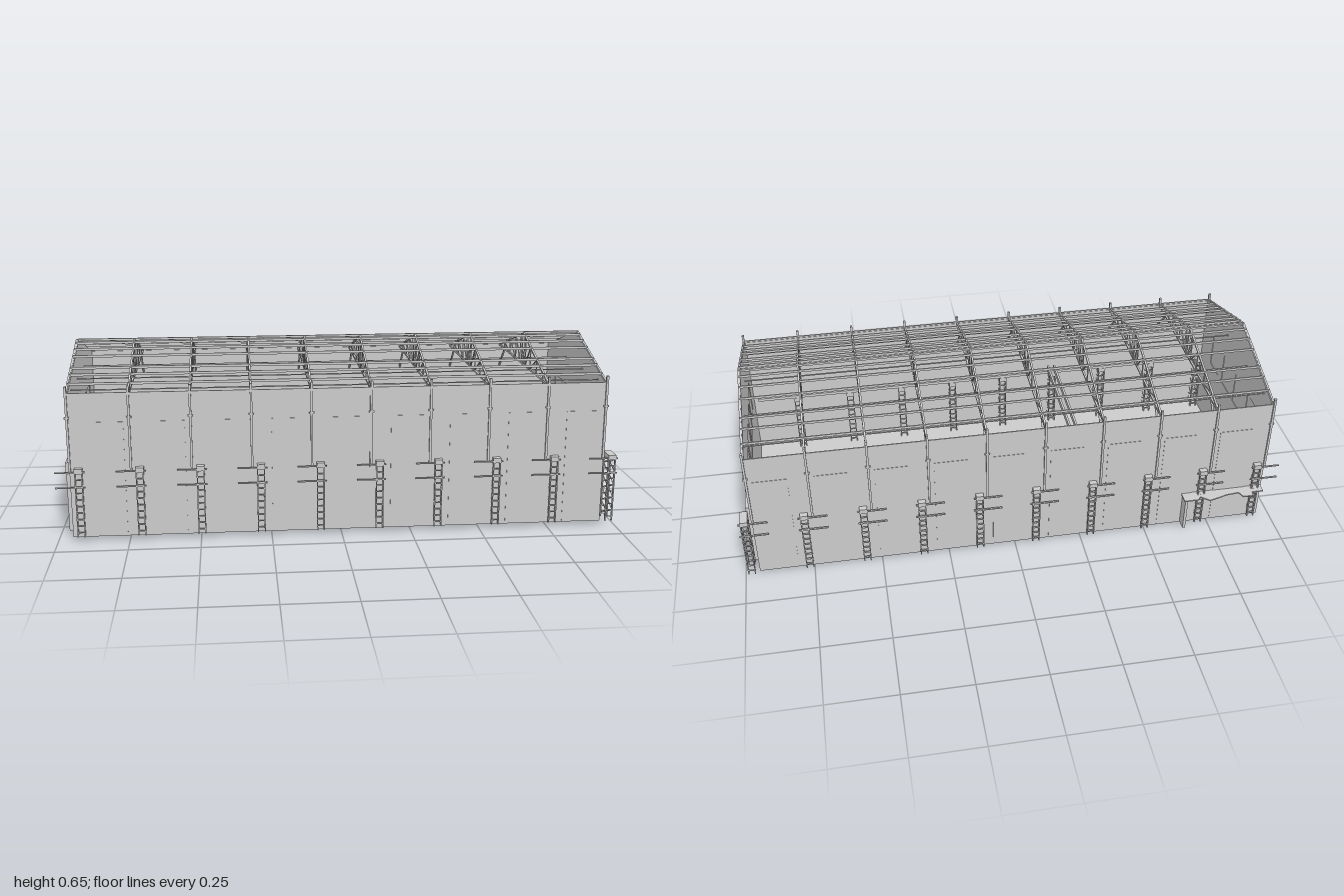
import * as THREE from 'three';

const grey = new THREE.MeshStandardMaterial({ color: 0xcccccc, side: THREE.DoubleSide });
const ZC = 0.02, HALF = 0.375;             // hall centre line and half width
const FLOOR = 0.018, EAVE = 0.528, RIDGE = 0.648, END = 0.948;
const roofY = (z) => RIDGE - (Math.abs(z - ZC) / HALF) * (RIDGE - EAVE);
const bays = Array.from({ length: 10 }, (_, i) => -0.947 + i * 0.2103);

// box given by its extents on each axis
function box(parent, name, x0, x1, y0, y1, z0, z1) {
  const m = new THREE.Mesh(new THREE.BoxGeometry(x1 - x0, y1 - y0, z1 - z0), grey);
  m.position.set((x0 + x1) / 2, (y0 + y1) / 2, (z0 + z1) / 2);
  m.name = name;
  parent.add(m);
  return m;
}

// straight bar between two points
function beam(parent, name, a, b, w = 0.005, h = w) {
  const p = new THREE.Vector3(...a), q = new THREE.Vector3(...b);
  const m = new THREE.Mesh(new THREE.BoxGeometry(w, h, p.distanceTo(q)), grey);
  m.position.copy(p).add(q).multiplyScalar(0.5);
  m.lookAt(q);
  m.name = name;
  parent.add(m);
}

function group(parent, name) {
  const g = new THREE.Group();
  g.name = name;
  parent.add(g);
  return g;
}

// gable wall with four windows; s is the end it stands on
function endWall(parent, s) {
  const g = group(parent, s > 0 ? 'leftEndWall' : 'rightEndWall');
  const shape = new THREE.Shape([
    [ZC - HALF, FLOOR], [ZC + HALF, FLOOR], [ZC + HALF, EAVE], [ZC, RIDGE], [ZC - HALF, EAVE],
  ].map((p) => new THREE.Vector2(...p)));
  for (let i = 0; i < 4; i++) {
    const z0 = -0.226 + i * 0.1355, z1 = z0 + 0.095;
    shape.holes.push(new THREE.Path([[z0, 0.297], [z0, 0.422], [z1, 0.422], [z1, 0.297]]
      .map((p) => new THREE.Vector2(...p))));
    box(g, 'windowPane', s * (END - 0.005) - 0.001, s * (END - 0.005) + 0.001, 0.297, 0.422, z0, z1);
  }
  const wall = new THREE.Mesh(new THREE.ExtrudeGeometry(shape, { depth: 0.008, bevelEnabled: false }), grey);
  wall.rotation.y = -Math.PI / 2;
  wall.position.x = s > 0 ? END : -END + 0.008;
  wall.name = 'gable';
  g.add(wall);

  // sliding door with header and guide posts
  const dz = ZC - s * 0.215;
  const span = (n, a, b, y0, y1, w) =>
    box(g, n, Math.min(s * a, s * b), Math.max(s * a, s * b), y0, y1, dz - w, dz + w);
  span('door', END, 0.957, FLOOR, 0.262, 0.097);
  span('doorHeader', END, 0.97, 0.26, 0.27, 0.1);
  span('doorRail', 0.956, 0.96, 0.082, 0.085, 0.095);
  for (const e of [-1, 1]) {
    const z = dz + e * 0.1;
    box(g, 'doorPost', s > 0 ? END : -0.968, s > 0 ? 0.968 : -END, FLOOR, 0.228, z - 0.003, z + 0.003);
    box(g, 'doorUpperPost', s > 0 ? END : -0.97, s > 0 ? 0.97 : -END, 0.228, 0.27, z - 0.002, z + 0.002);
  }
  // rain pipe corner straps
  for (const e of [-1, 1]) {
    const z = ZC + e * HALF;
    beam(g, 'cornerBrace', [s * 0.951, 0.44, z], [s * 0.951, EAVE, ZC + e * 0.288], 0.004, 0.008);
  }
}

// lattice column with cross bars, e is the side of the hall
function column(parent, x, e) {
  const g = group(parent, 'latticeColumn');
  const cx = x + 0.03, out = ZC + e * 0.389, inn = ZC + e * 0.338;
  for (const d of [-0.012, 0.012])
    for (const z of [out, inn])
      box(g, 'upright', cx + d - 0.002, cx + d + 0.002, FLOOR, 0.252, z - 0.004, z + 0.004);
  for (let y = 0.035; y < 0.25; y += 0.024)
    for (const z of [out, inn])
      box(g, 'rung', cx - 0.012, cx + 0.012, y - 0.0015, y + 0.0015, z - 0.003, z + 0.003);
  for (let y = 0.035, i = 0; y < 0.23; y += 0.024, i++)
    for (const d of [-0.012, 0.012])
      beam(g, 'sideLacing', [cx + d, y, i % 2 ? out : inn], [cx + d, y + 0.024, i % 2 ? inn : out], 0.002);
  box(g, 'columnHead', cx - 0.014, cx + 0.014, 0.25, 0.268, Math.min(out, inn) - 0.006, Math.max(out, inn) + 0.006);
  for (const y of [0.2, 0.255])
    box(g, 'crossBar', x - 0.052, x + 0.052, y - 0.002, y + 0.002, out - 0.003, out + 0.003);
}

// roof truss with wall posts and knee braces
function truss(parent, x) {
  const g = group(parent, 'roofTruss');
  const low = EAVE - 0.002;
  for (const e of [-1, 1]) {
    const at = (t, y) => [x, y, ZC + e * t];
    const top = (t) => at(t, roofY(ZC + e * t) - 0.003);
    beam(g, 'rafter', at(HALF, EAVE), at(0, RIDGE - 0.003), 0.007);
    beam(g, 'kneeBrace', at(HALF - 0.004, 0.442), at(0.288, low), 0.006);
    beam(g, 'kingBrace', at(0.01, low), at(0.038, roofY(ZC + 0.038)), 0.005);
    const nodes = [0.29, 0.2, 0.11, 0.038];
    nodes.forEach((t, i) => {
      beam(g, 'webPost', at(t, low), top(t), 0.004);
      if (i) beam(g, 'webDiagonal', at(t, low), top(nodes[i - 1]), 0.004);
    });
    const z = ZC + e * (HALF + 0.001);
    box(g, 'wallPost', x - 0.004, x + 0.004, 0.25, 0.557, z - 0.005, z + 0.005);
  }
  beam(g, 'bottomChord', [x, low, ZC - HALF], [x, low, ZC + HALF], 0.007);
  beam(g, 'kingPost', [x, low, ZC], [x, RIDGE - 0.004, ZC], 0.007);
}

export function createModel() {
  const model = new THREE.Group();
  model.name = 'industrialHall';

  box(model, 'floor', -END, END, 0.014, FLOOR + 0.003, ZC - HALF, ZC + HALF);
  endWall(model, 1);
  endWall(model, -1);

  for (const e of [-1, 1]) {
    // long wall with shallow panels, pipe and bolts
    const side = group(model, e > 0 ? 'frontWall' : 'backWall');
    const z = ZC + e * HALF;
    const slab = (n, x0, x1, y0, y1, proud) =>
      box(side, n, x0, x1, y0, y1, Math.min(z - e * 0.004, z + e * proud), Math.max(z - e * 0.004, z + e * proud));
    slab('wall', -END, END, FLOOR, EAVE, 0);
    bays.forEach((x, i) => {
      if (i < 9) slab('wallPanel', x + 0.07, x + 0.19, FLOOR, 0.43, 0.0015);
      for (const d of [-0.006, 0.006]) slab('bolt', x + d - 0.003, x + d + 0.003, 0.444, 0.45, 0.006);
      slab('bolt', x - 0.003, x + 0.003, 0.278, 0.284, 0.006);
      column(model, x, e);
    });
    if (e > 0) slab('drainPipe', 0.099, 0.103, 0.2, EAVE, 0.004);

    // crane rail along the inside
    const rz = ZC + e * 0.338;
    box(model, 'craneRail', -0.92, 0.92, 0.268, 0.28, rz - 0.005, rz + 0.005);

    // purlins on the slope and ties between lower chords
    for (const t of [0.03, 0.075, 0.125, 0.205, 0.25, 0.31, HALF]) {
      const pz = ZC + e * t, y = roofY(pz);
      box(model, 'purlin', -END, END, y - 0.003, y + 0.006, pz - 0.002, pz + 0.002);
    }
    for (const t of [0.11, 0.29])
      box(model, 'chordTie', -END, END, EAVE - 0.006, EAVE - 0.002, ZC + e * t - 0.002, ZC + e * t + 0.002);
  }
  box(model, 'ridgeBeam', -END, END, RIDGE - 0.006, RIDGE + 0.002, ZC - 0.004, ZC + 0.004);
  bays.forEach((x) => truss(model, x));

  // bridge crane spanning the hall
  const crane = group(model, 'bridgeCrane');
  for (const x of [-0.293, -0.267])
    box(crane, 'craneGirder', x - 0.004, x + 0.004, 0.28, 0.3, ZC - 0.345, ZC + 0.345);

  // uneven platform through the back corner, on thin legs
  const platform = group(model, 'cornerPlatform');
  const edge = [[-0.945, -0.39], [-0.9, -0.39], [-0.9, -0.41], [-0.86, -0.41], [-0.85, -0.385], [-0.8, -0.39],
    [-0.77, -0.4], [-0.73, -0.41], [-0.7, -0.385], [-0.69, -0.4], [-0.635, -0.4], [-0.635, -0.29], [-0.645, -0.2],
    [-0.64, 0.0], [-0.7, 0.01], [-0.75, -0.01], [-0.8, 0.0], [-0.86, -0.01], [-0.945, 0.01]];
  const top = new THREE.Mesh(new THREE.ExtrudeGeometry(
    new THREE.Shape(edge.map(([x, z]) => new THREE.Vector2(x, -z))), { depth: 0.005, bevelEnabled: false }), grey);
  top.rotation.x = -Math.PI / 2;
  top.position.y = 0.151;
  top.name = 'platformTop';
  platform.add(top);
  box(platform, 'platformEnd', -0.65, -0.64, FLOOR, 0.153, -0.396, -0.355);
  for (const x of [-0.88, -0.65])
    for (const z of [-0.005, -0.285, -0.318])
      box(platform, 'platformLeg', x - 0.003, x + 0.003, 0, 0.152, z - 0.003, z + 0.003);

  return model;
}
